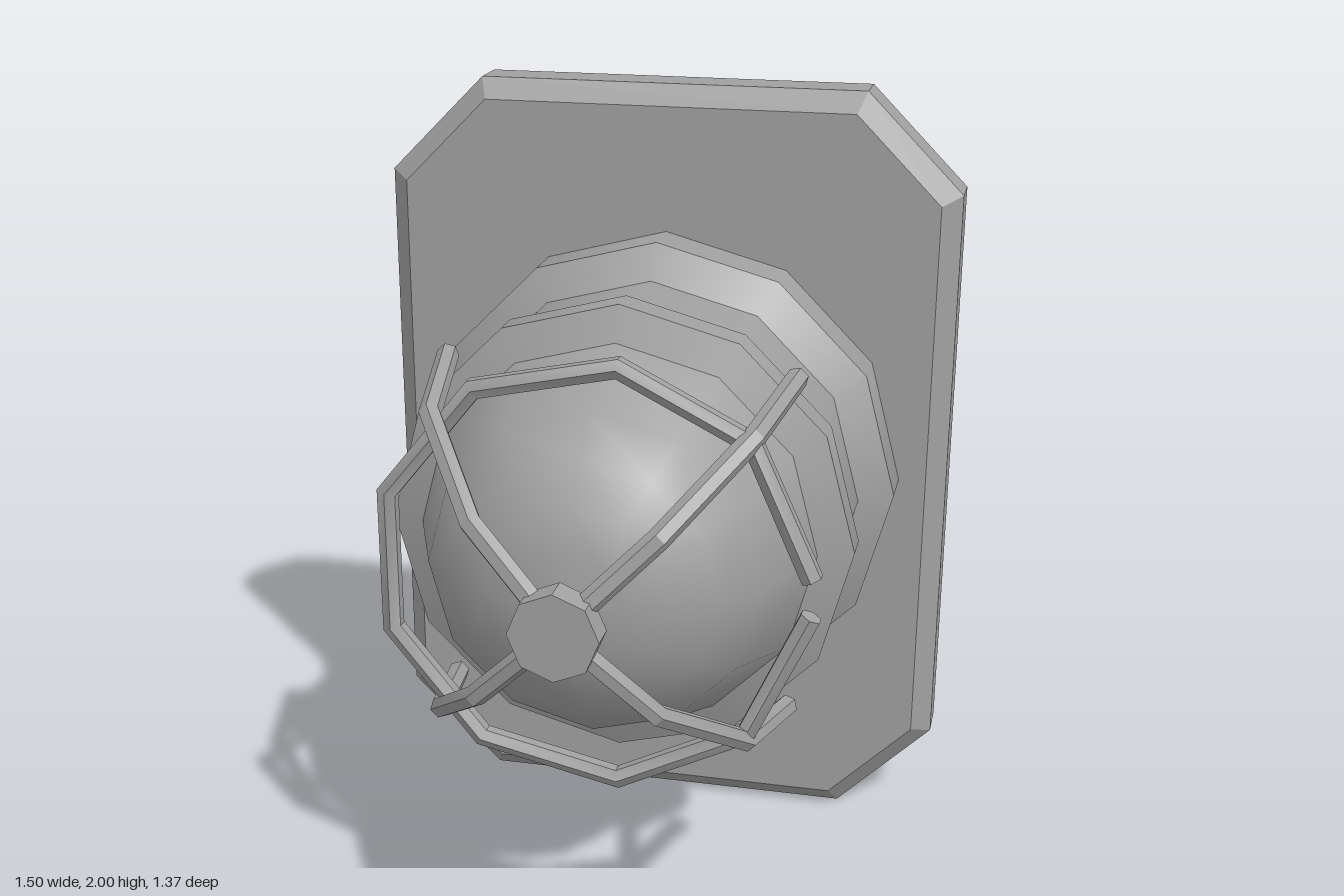
import * as THREE from 'three';
import { toCreasedNormals } from 'three/addons/utils/BufferGeometryUtils.js';

const CENTRE_Y = 1;
const SIDES = 12;
const WIRE_RADIUS = 0.027;

// Capped six-sided rod that follows straight segments with mitred corners.
class Polyline extends THREE.Curve {
  constructor(points) {
    super();
    this.points = points;
  }
  getPointAt(u) {
    return this.points[Math.round(u * (this.points.length - 1))].clone();
  }
  getTangentAt(u) {
    const p = this.points, i = Math.round(u * (p.length - 1));
    const t = new THREE.Vector3();
    if (i > 0) t.add(p[i].clone().sub(p[i - 1]).normalize());
    if (i < p.length - 1) t.add(p[i + 1].clone().sub(p[i]).normalize());
    return t.normalize();
  }
}

function rodGeometry(points) {
  const radial = 6, last = (points.length - 1) * (radial + 1);
  const geo = new THREE.TubeGeometry(new Polyline(points), points.length - 1, WIRE_RADIUS, radial);
  const index = Array.from(geo.index.array);
  for (let j = 1; j < radial - 1; j++) {
    index.push(0, j, j + 1, last, last + j + 1, last + j);
  }
  geo.setIndex(index);
  return toCreasedNormals(geo, 0.5);
}

export function createModel() {
  const model = new THREE.Group();
  model.name = 'bulkheadLamp';
  const grey = new THREE.MeshStandardMaterial({ color: 0xa0a0a0 });
  grey.name = 'grey';

  const add = (name, geometry, parent) => {
    const mesh = new THREE.Mesh(geometry, grey);
    mesh.name = name;
    parent.add(mesh);
    return mesh;
  };

  // Wall plate with cut corners and bevelled rims
  const outline = [[0.5, 1], [0.75, 0.75], [0.75, -0.75], [0.5, -1],
    [-0.5, -1], [-0.75, -0.75], [-0.75, 0.75], [-0.5, 1]];
  const plate = new THREE.ExtrudeGeometry(
    new THREE.Shape(outline.map(([x, y]) => new THREE.Vector2(x, y))),
    { depth: 0.11, bevelSize: 0.05, bevelOffset: -0.05, bevelThickness: 0.05, bevelSegments: 1 });
  plate.translate(0, CENTRE_Y, -0.64);
  add('wallPlate', plate, model);

  // Lamp parts share the z axis through the plate centre
  const lamp = new THREE.Group();
  lamp.name = 'lamp';
  lamp.position.y = CENTRE_Y;
  model.add(lamp);

  // Housing: stacked bands, smooth around and sharp between bands
  const housing = new THREE.Group();
  housing.name = 'housing';
  lamp.add(housing);
  const profile = [[0.63, -0.5], [0.63, -0.36], [0.545, -0.3], [0.545, -0.06],
    [0.58, -0.03], [0.58, 0.05], [0.495, 0.085]];
  for (let i = 0; i < profile.length - 1; i++) {
    const [r0, z0] = profile[i], [r1, z1] = profile[i + 1];
    const band = new THREE.CylinderGeometry(r1, r0, z1 - z0, SIDES, 1, true);
    band.rotateX(Math.PI / 2).translate(0, 0, (z0 + z1) / 2);
    add('housingBand', band, housing);
  }

  // Glass dome
  const domeProfile = [[0.5, 0.07], [0.493, 0.09], [0.4, 0.325], [0.32, 0.41],
    [0.22, 0.48], [0.12, 0.51], [0, 0.525]];
  const dome = new THREE.LatheGeometry(
    domeProfile.map(([r, z]) => new THREE.Vector2(r, z)), SIDES);
  add('dome', dome.rotateX(Math.PI / 2), lamp);

  // Guard cage: four bent bars, an open hoop and a front boss
  const cage = new THREE.Group();
  cage.name = 'guardCage';
  lamp.add(cage);
  const barPath = [[0.605, 0.04], [0.533, 0.34], [0.3, 0.575], [0.07, 0.625]];
  const bar = rodGeometry(barPath.map(([r, z]) => new THREE.Vector3(r, 0, z)));
  for (let i = 0; i < 4; i++) {
    add('guardBar', bar, cage).rotation.z = Math.PI / 4 + i * Math.PI / 2;
  }

  const hoop = [];
  for (let i = 0; i <= 9; i++) {
    const a = THREE.MathUtils.degToRad(5 + i * 350 / 9);
    hoop.push(new THREE.Vector3(0.52 * Math.cos(a), 0.52 * Math.sin(a), 0.336));
  }
  add('guardHoop', rodGeometry(hoop), cage);

  const boss = new THREE.CylinderGeometry(0.105, 0.105, 0.07, 8);
  boss.rotateX(Math.PI / 2).translate(0, 0, 0.645);
  add('frontBoss', toCreasedNormals(boss, 0.5), cage);

  return model;
}
